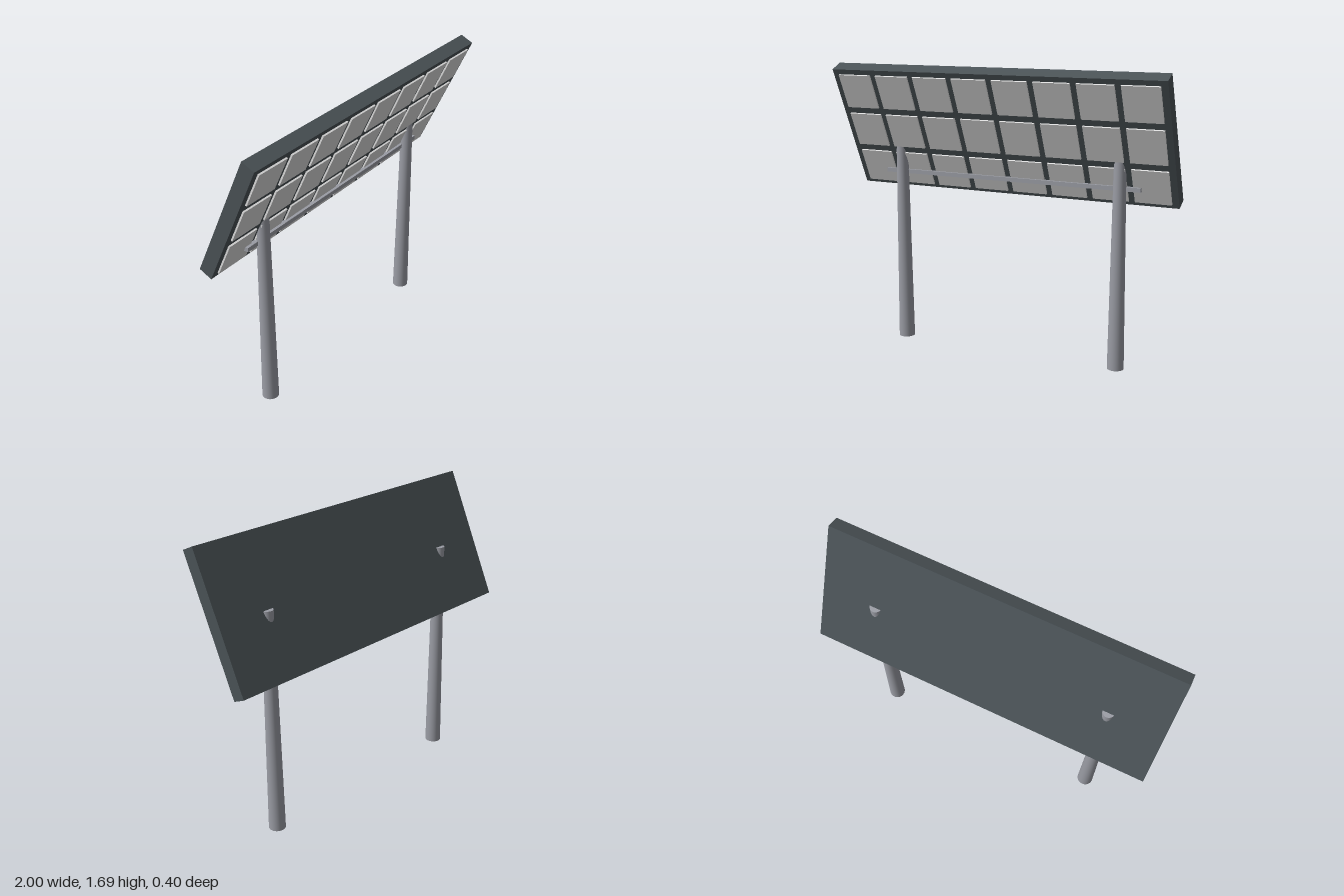
import * as THREE from 'three';

export function createModel() {
  const model = new THREE.Group();
  const material = (name, color) => {
    const m = new THREE.MeshStandardMaterial({ color });
    m.name = name;
    return m;
  };
  const frameGrey = material('dark frame grey', 0x4a5256);
  const tileGrey = material('pale tile grey', 0xdcdcdc);
  const steel = material('steel grey', 0x9a9ca4);

  const add = (parent, name, geometry, mat, x, y, z) => {
    const mesh = new THREE.Mesh(geometry, mat);
    mesh.name = name;
    mesh.position.set(x, y, z);
    parent.add(mesh);
    return mesh;
  };

  // Tilted panel, its top leaning forward
  const panel = new THREE.Group();
  panel.name = 'panel';
  panel.position.y = 1.318;
  panel.rotation.x = THREE.MathUtils.degToRad(24.8);
  model.add(panel);
  add(panel, 'panelFrame', new THREE.BoxGeometry(2, 0.787, 0.082), frameGrey, 0, 0, 0);

  // Raised tiles, eight columns by three rows
  const tile = new THREE.BoxGeometry(0.209, 0.215, 0.01);
  for (let row = 0; row < 3; row++) {
    for (let col = 0; col < 8; col++) {
      add(panel, 'tile', tile, tileGrey, (col - 3.5) * 0.245, (row - 1) * 0.258 - 0.003, 0.046);
    }
  }

  // Tapered posts, sheared slightly forward, passing through the panel
  const height = 1.32;
  const postGeometry = new THREE.CylinderGeometry(0.033, 0.048, height, 32);
  postGeometry.applyMatrix4(new THREE.Matrix4().set(
    1, 0, 0, 0,
    0, 1, 0, 0,
    0, 0.01 / height, 1, 0,
    0, 0, 0, 1));
  for (const side of [-1, 1]) {
    add(model, side > 0 ? 'leftPost' : 'rightPost', postGeometry, steel, side * 0.685, height / 2, -0.043);
  }

  // Crossbar joining the posts
  add(model, 'crossbar', new THREE.BoxGeometry(1.6, 0.024, 0.026), steel, 0, 1.042, -0.062);

  return model;
}
